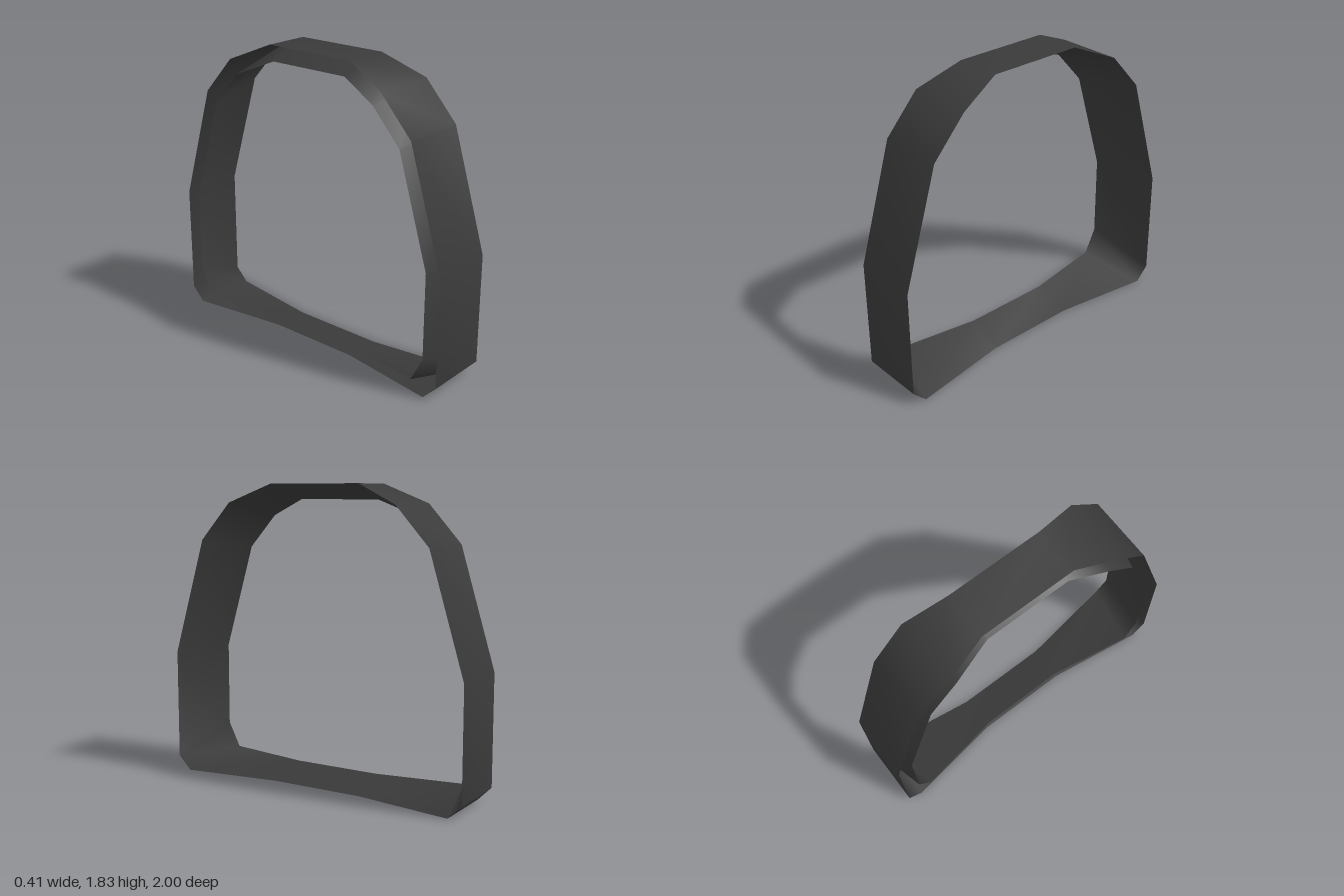
import * as THREE from 'three';

// Front half of the loop, top to bottom: outer z, outer y, inner z, inner y, half width
const HALF = [
  [0.30, 1.83, 0.27, 1.735, 0.143],
  [0.57, 1.715, 0.52, 1.63, 0.205],
  [0.78, 1.485, 0.705, 1.425, 0.205],
  [1.00, 0.765, 0.905, 0.765, 0.205],
  [1.00, 0.085, 0.905, 0.235, 0.205],
  [0.915, 0, 0.825, 0.08, 0.205],
  [0.30, 0, 0.28, 0.08, 0.114],
];
const BACK = HALF.map(([z, y, iz, iy, w]) => [-z, y, -iz, iy, w]).reverse();
const LOOP = [...HALF, ...BACK];

// Closed strip between two edges, each given by a rule for one section of the loop
function strip(firstEdge, secondEdge) {
  const positions = LOOP.flatMap((s) => [...firstEdge(s), ...secondEdge(s)]);
  const indices = LOOP.flatMap((_, i) => {
    const a = i * 2;
    const c = ((i + 1) % LOOP.length) * 2;
    return [a, a + 1, c, a + 1, c + 1, c];
  });
  const geometry = new THREE.BufferGeometry();
  geometry.setAttribute('position', new THREE.Float32BufferAttribute(positions, 3));
  geometry.setIndex(indices);
  geometry.computeVertexNormals();
  return geometry;
}

export function createModel() {
  const group = new THREE.Group();
  group.name = 'archedFrame';

  // Open walls, so both faces show
  const charcoal = new THREE.MeshStandardMaterial({ color: 0x3a3a3a, side: THREE.DoubleSide });
  charcoal.name = 'charcoal';

  const leftEdge = ([z, y, , , w]) => [w, y, z];
  const rightEdge = ([z, y, , , w]) => [-w, y, z];
  const innerEdge = ([, , iz, iy, w]) => [-w, iy, iz];

  // Straight outer wall
  const outer = new THREE.Mesh(strip(leftEdge, rightEdge), charcoal);
  outer.name = 'outerWall';

  // Inner wall tapers from the shared left edge to a smaller right opening
  const inner = new THREE.Mesh(strip(innerEdge, leftEdge), charcoal);
  inner.name = 'innerWall';

  group.add(outer, inner);
  return group;
}
